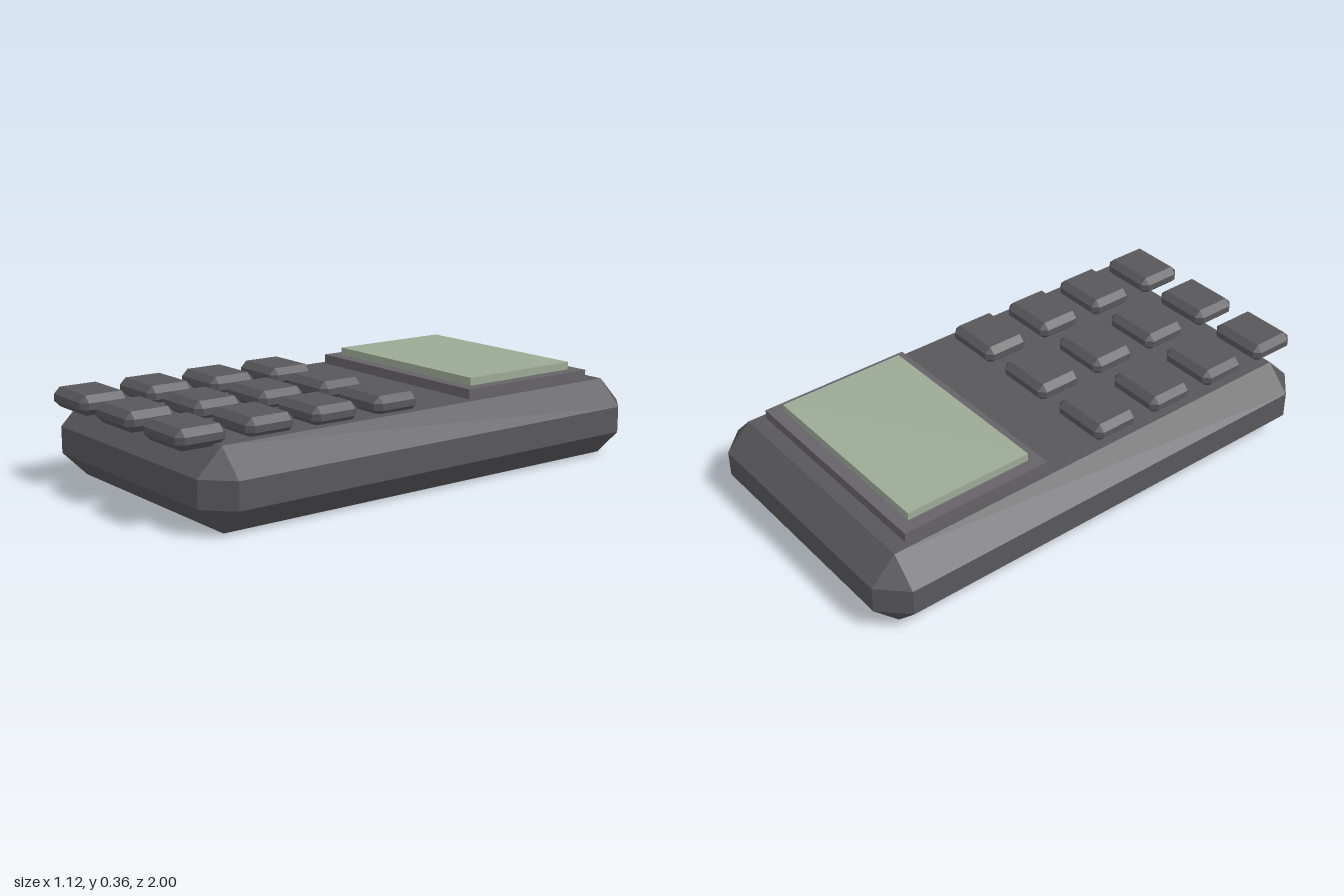
import * as THREE from 'three';
import { ConvexGeometry } from 'three/addons/geometries/ConvexGeometry.js';

// Box with every edge and corner cut by a flat chamfer
function chamferBox(w, h, d, b) {
  const points = [];
  for (const sx of [-1, 1]) for (const sy of [-1, 1]) for (const sz of [-1, 1]) {
    const x = w / 2, y = h / 2, z = d / 2;
    points.push(
      new THREE.Vector3(sx * x, sy * (y - b), sz * (z - b)),
      new THREE.Vector3(sx * (x - b), sy * y, sz * (z - b)),
      new THREE.Vector3(sx * (x - b), sy * (y - b), sz * z)
    );
  }
  return new ConvexGeometry(points);
}

export function createModel() {
  const model = new THREE.Group();
  model.name = 'handheldKeypad';

  const paint = (color) => new THREE.MeshStandardMaterial({ color, flatShading: true });
  const casing = paint(0x58585b);
  const frame = paint(0x656368);
  const glass = paint(0x9caa94);

  function add(parent, name, geometry, material, x, y, z) {
    const mesh = new THREE.Mesh(geometry, material);
    mesh.name = name;
    mesh.position.set(x, y, z);
    parent.add(mesh);
  }

  // Casing
  add(model, 'body', chamferBox(1.12, 0.294, 1.952, 0.097), casing, 0, 0.147, -0.024);

  // Display
  add(model, 'screenBezel', new THREE.BoxGeometry(0.876, 0.05, 0.606), frame, 0, 0.306, -0.539);
  add(model, 'screen', new THREE.BoxGeometry(0.78, 0.05, 0.51), glass, 0, 0.336, -0.539);

  // Keypad: four rows of three, the last row overhanging the front edge
  const keypad = new THREE.Group();
  keypad.name = 'keypad';
  const keyGeometry = chamferBox(0.242, 0.073, 0.193, 0.0243);
  for (let row = 0; row < 4; row++) {
    for (let col = -1; col <= 1; col++) {
      add(keypad, 'key', keyGeometry, casing, col * 0.317, 0.32, 0.097 + row * 0.269);
    }
  }
  model.add(keypad);

  return model;
}
